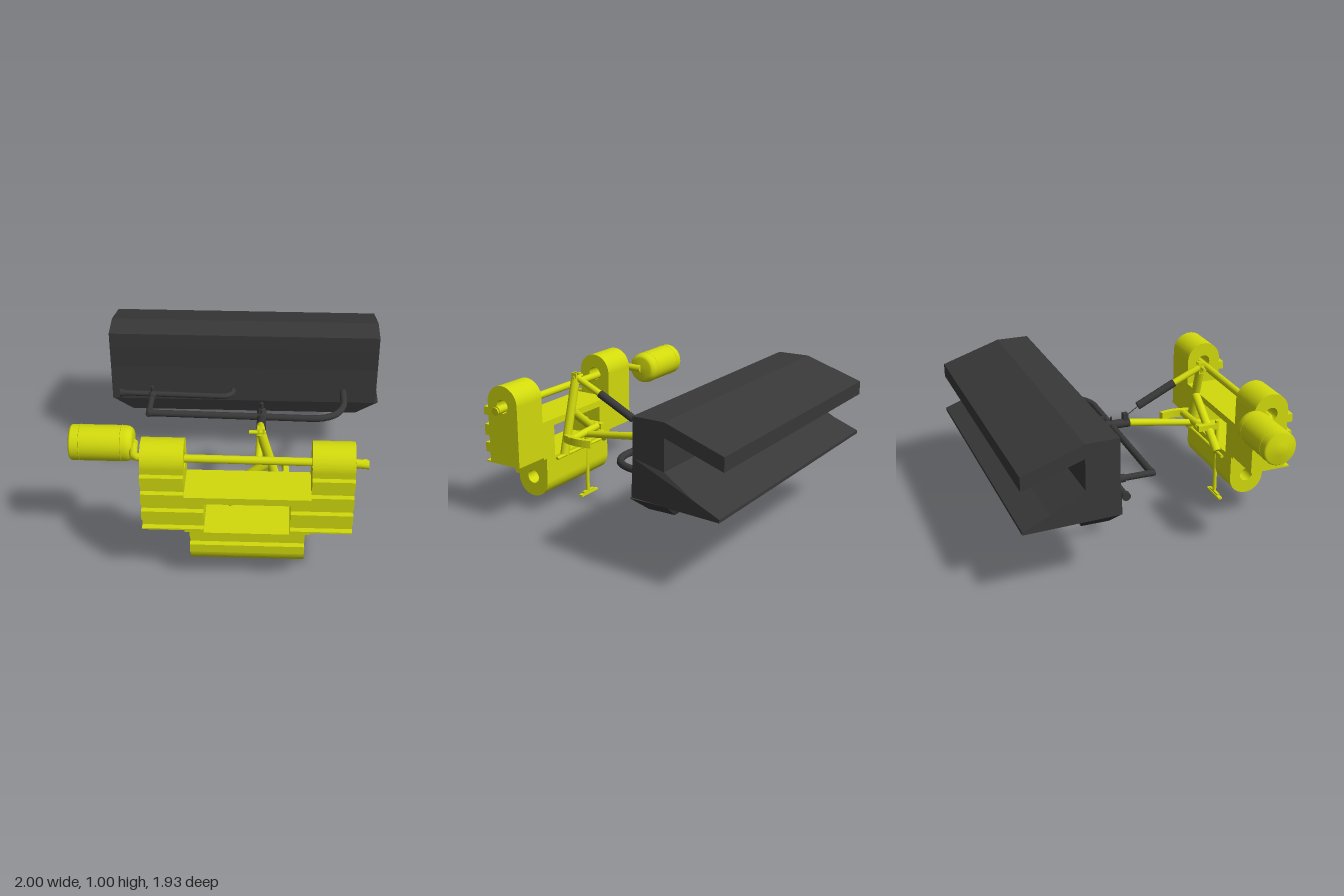
import * as THREE from 'three';
import { ConvexGeometry } from 'three/addons/geometries/ConvexGeometry.js';

const V = (x, y, z) => new THREE.Vector3(x, y, z);

export function createModel() {
  const model = new THREE.Group();
  const yellow = new THREE.MeshStandardMaterial({ color: 0xd2da0c });
  const dark = new THREE.MeshStandardMaterial({ color: 0x383838 });

  function add(name, geo, mat = yellow) {
    const mesh = new THREE.Mesh(geo, mat);
    mesh.name = name;
    model.add(mesh);
    return mesh;
  }
  function box(name, x0, x1, y0, y1, z0, z1, mat) {
    const g = new THREE.BoxGeometry(x1 - x0, y1 - y0, z1 - z0);
    return add(name, g.translate((x0 + x1) / 2, (y0 + y1) / 2, (z0 + z1) / 2), mat);
  }
  // Cylinder or cone between two points
  function rod(name, a, b, r0, mat, r1 = r0) {
    const dir = b.clone().sub(a);
    const mesh = add(name, new THREE.CylinderGeometry(r1, r0, dir.length(), 20), mat);
    mesh.position.copy(a).add(b).multiplyScalar(0.5);
    mesh.quaternion.setFromUnitVectors(V(0, 1, 0), dir.normalize());
    return mesh;
  }
  // Pipe with rounded bends, closed by short end collars
  function pipe(name, points, bend, r, mat) {
    const path = new THREE.CurvePath();
    let from = points[0];
    for (let i = 1; i < points.length - 1; i++) {
      const p = points[i];
      const toward = (q) => p.clone().add(q.clone().sub(p).setLength(bend));
      const a = toward(points[i - 1]), b = toward(points[i + 1]);
      path.add(new THREE.LineCurve3(from, a));
      path.add(new THREE.QuadraticBezierCurve3(a, p, b));
      from = b;
    }
    const last = points[points.length - 1];
    path.add(new THREE.LineCurve3(from, last));
    add(name, new THREE.TubeGeometry(path, 64, r, 16), mat);
    [[points[0], points[1]], [last, points[points.length - 2]]].forEach(([e, n]) =>
      rod(name + 'End', e, e.clone().add(n.clone().sub(e).setLength(0.025)), r * 1.12, mat));
  }
  // Side profile in (-z, y), extruded along x
  function extrudeX(shape, x0, x1) {
    const g = new THREE.ExtrudeGeometry(shape, { depth: x1 - x0, bevelEnabled: false, curveSegments: 20 });
    return g.rotateY(Math.PI / 2).translate(x0, 0, 0);
  }

  // Coupling frame: toothed front, rounded top and bottom, bored holes
  const back = 0.69, front = 0.934, mid = 0.812, R = 0.122, tip = 0.97;
  const teeth = [[0.245, 0.3], [0.365, 0.42], [0.48, 0.545], [0.595, 0.67], [0.735, 0.79]];
  function frameSlab(name, x0, x1, y0, y1, round) {
    const s = new THREE.Shape();
    const low = round === 'bottom' ? y0 + R : y0;
    const high = round === 'top' ? y1 - R : y1;
    s.moveTo(-front, low);
    if (round === 'bottom') s.absarc(-mid, low, R, Math.PI, Math.PI * 2, false);
    else s.lineTo(-back, low);
    s.lineTo(-back, high);
    if (round === 'top') s.absarc(-mid, high, R, 0, Math.PI, false);
    else s.lineTo(-front, high);
    for (const [a, b] of [...teeth].reverse()) {
      const lo = Math.max(a, low), hi = Math.min(b, high);
      if (hi - lo < 0.005) continue;
      s.lineTo(-front, hi); s.lineTo(-tip, hi); s.lineTo(-tip, lo); s.lineTo(-front, lo);
    }
    if (round) {
      const hole = new THREE.Path();
      hole.absarc(-mid, round === 'top' ? 0.81 : 0.245, 0.046, 0, Math.PI * 2, true);
      s.holes.push(hole);
    }
    add(name, extrudeX(s, x0, x1));
  }
  frameSlab('rightFrameBlock', -0.53, -0.275, 0.41, 0.948, 'top');
  frameSlab('leftFrameBlock', 0.475, 0.725, 0.41, 0.948, 'top');
  frameSlab('frameTopBar', -0.275, 0.475, 0.61, 0.655);
  frameSlab('rightFrameCheek', -0.275, -0.16, 0.395, 0.61);
  frameSlab('leftFrameCheek', 0.355, 0.475, 0.395, 0.61);
  frameSlab('lowerFrameBlock', -0.245, 0.445, 0.108, 0.395, 'bottom');

  // Cross shaft, its elbow and the round tank
  pipe('crossShaft', [V(0.8, 0.805, 0.795), V(-0.585, 0.805, 0.78), V(-0.6, 0.8, 0.63)], 0.03, 0.025, yellow);
  rod('shaftEnd', V(0.735, 0.805, 0.797), V(0.81, 0.8, 0.8), 0.027);
  const tank = [[0, -0.995], [0.04, -0.995], [0.045, -0.985], [0.1, -0.983], [0.11, -0.97], [0.11, -0.65],
    [0.106, -0.625], [0.095, -0.607], [0.08, -0.597], [0, -0.592]].map(([r, h]) => new THREE.Vector2(r, h));
  add('tank', new THREE.LatheGeometry(tank, 36).rotateZ(-Math.PI / 2).translate(0, 0.798, 0.63));
  for (const x of [-0.92, -0.67])
    add('tankSeam', new THREE.TorusGeometry(0.109, 0.003, 6, 36).rotateY(Math.PI / 2).translate(x, 0.798, 0.63));

  // Braced mast behind the frame
  rod('mast', V(0.17, 0.9, 0.64), V(0.315, 0.4, 0.64), 0.03);
  rod('mastBrace', V(-0.14, 0.4, 0.635), V(0.22, 0.68, 0.635), 0.03);
  rod('mastAxle', V(-0.22, 0.4, 0.635), V(0.39, 0.39, 0.645), 0.011);
  rod('crossTube', V(0.03, 0.535, 0.575), V(0.34, 0.51, 0.585), 0.025);
  rod('mastTopPin', V(0.1, 0.905, 0.64), V(0.2, 0.905, 0.64), 0.012);
  for (const x of [0.155, 0.185]) box('mastEar', x - 0.006, x + 0.006, 0.86, 0.94, 0.62, 0.66);
  const hook = new THREE.Shape();
  hook.moveTo(0.3, -0.42);
  hook.lineTo(0.33, -0.41);
  hook.quadraticCurveTo(0.37, -0.52, 0.32, -0.64);
  hook.lineTo(0.28, -0.625);
  hook.quadraticCurveTo(0.335, -0.52, 0.3, -0.42);
  add('curvedHook', new THREE.ExtrudeGeometry(hook, { depth: 0.052, bevelEnabled: false })
    .rotateX(-Math.PI / 2).translate(0, 0.487, 0));

  // Support stand
  rod('standLeg', V(-0.007, 0.02, 0.695), V(-0.007, 0.57, 0.695), 0.014);
  box('standFoot', -0.105, 0.08, 0, 0.014, 0.68, 0.71);
  box('standFootCap', -0.07, 0.045, 0.014, 0.028, 0.685, 0.705);
  box('standBracket', -0.025, 0.015, 0.51, 0.55, 0.55, 0.69);

  // Lifting ram and lower arm
  rod('ramBarrel', V(0.165, 0.905, 0.63), V(0.165, 0.815, 0.43), 0.022);
  rod('ramSleeve', V(0.165, 0.82, 0.44), V(0.165, 0.69, 0.175), 0.027, dark);
  rod('ramWire', V(0.165, 0.69, 0.18), V(0.165, 0.63, 0.09), 0.003, dark);
  rod('lowerArm', V(0.145, 0.5, 0.64), V(0.165, 0.58, 0.1), 0.022, yellow, 0.026);
  rod('armSocket', V(0.165, 0.58, 0.11), V(0.165, 0.58, -0.09), 0.031, dark);
  box('socketLug', 0.145, 0.185, 0.6, 0.652, 0.065, 0.1, dark);
  rod('socketPin', V(0.165, 0.59, -0.018), V(0.165, 0.638, -0.018), 0.007, dark);
  rod('socketBolt', V(0.165, 0.59, -0.08), V(0.165, 0.65, -0.08), 0.012, dark);

  // Bent pipes carrying the bucket
  pipe('mainPipe', [V(-0.59, 0.58, -0.04), V(0.6, 0.58, -0.01), V(0.72, 0.58, -0.13), V(0.72, 0.58, -0.37)], 0.1, 0.023, dark);
  rod('linkPipe', V(-0.59, 0.58, -0.02), V(-0.59, 0.58, -0.29), 0.02, dark);
  pipe('rearPipe', [V(-0.81, 0.575, -0.295), V(-0.04, 0.575, -0.27), V(-0.035, 0.575, -0.37)], 0.085, 0.019, dark);
  rod('rearPipeFlange', V(-0.815, 0.575, -0.295), V(-0.785, 0.575, -0.294), 0.027, dark);
  rod('linkPin', V(-0.59, 0.55, -0.285), V(-0.59, 0.635, -0.285), 0.011, dark);
  rod('linkCollar', V(-0.59, 0.58, -0.22), V(-0.59, 0.58, -0.27), 0.026, dark);

  // Bucket shell with a sloping visor and a lower lip that flares to one side
  const shell = [[-0.36, 1], [-0.575, 1], [-0.965, 0.87], [-0.965, 0.78], [-0.575, 0.908], [-0.575, 0.704],
    [-0.79, 0.59], [-0.965, 0.52], [-0.965, 0.5], [-0.345, 0.5], [-0.348, 0.56], [-0.358, 0.75], [-0.358, 0.9]];
  const shape = new THREE.Shape(shell.map(([z, y]) => new THREE.Vector2(-z, y)));
  const bucket = extrudeX(shape, 0, 1);
  const p = bucket.attributes.position;
  for (let i = 0; i < p.count; i++) {
    const t = (-p.getZ(i) - 0.36) / 0.605;
    const flare = p.getY(i) < 0.65 ? 0.053 : 0.008;
    p.setX(i, p.getX(i) > 0.5 ? 0.947 + flare * t : -0.877 - 0.02 * t);
  }
  bucket.computeVertexNormals();
  add('bucketShell', bucket, dark);

  // Chamfered tub under the bucket
  const tub = [];
  for (const [y, x0, x1, z0, z1] of [[0.505, -0.88, 0.965, -0.6, -0.347],
    [0.435, -0.745, 0.815, -0.56, -0.38], [0.395, -0.745, 0.815, -0.56, -0.38]])
    for (const x of [x0, x1]) for (const z of [z0, z1]) tub.push(V(x, y, z));
  add('bucketTub', new ConvexGeometry(tub), dark);

  return model;
}
